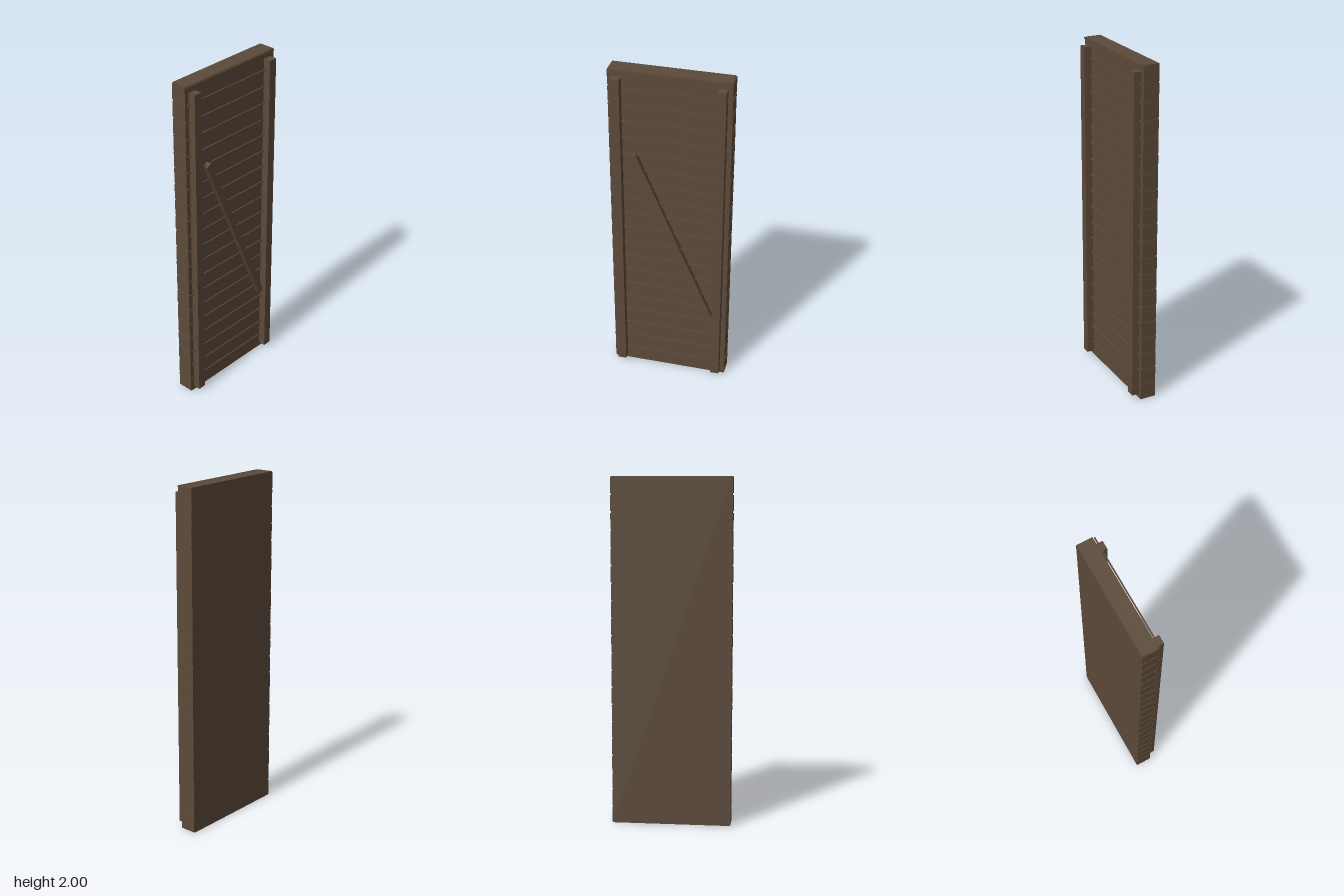
import * as THREE from 'three';

export function createModel() {
  const door = new THREE.Group();
  door.name = 'plankDoor';
  const wood = new THREE.MeshStandardMaterial({ color: 0x5c4a3a });
  wood.name = 'brown wood';

  // Box given by its min and max on each axis
  function box(name, [x0, x1], [y0, y1], [z0, z1]) {
    const mesh = new THREE.Mesh(new THREE.BoxGeometry(x1 - x0, y1 - y0, z1 - z0), wood);
    mesh.name = name;
    mesh.position.set((x0 + x1) / 2, (y0 + y1) / 2, (z0 + z1) / 2);
    door.add(mesh);
    return mesh;
  }

  // Solid panel
  box('panel', [-0.069, 0.024], [0, 2], [-0.34, 0.34]);

  // Plank edges with small notches between them, and a thin seam strip per plank
  const planks = 20;
  const pitch = 2 / planks;
  for (let i = 0; i < planks; i++) {
    const y = i * pitch;
    for (const s of [-1, 1]) {
      box('plankEnd', [-0.069, 0.024], [y + 0.005, y + pitch - 0.005],
        s > 0 ? [0.34, 0.344] : [-0.344, -0.34]);
    }
    box('seamStrip', [0.029, 0.036], [y + pitch - 0.008, y + pitch], [-0.336, 0.336]);
  }

  // Upright battens
  for (const s of [-1, 1]) {
    const z = s * 0.292;
    box('batten', [0.024, 0.068], [0.025, 1.96], [z - 0.025, z + 0.025]);
  }

  // Diagonal brace
  const brace = box('brace', [0.024, 0.055], [0.397, 1.543], [-0.038, -0.004]);
  brace.rotation.x = 0.4;

  return door;
}
